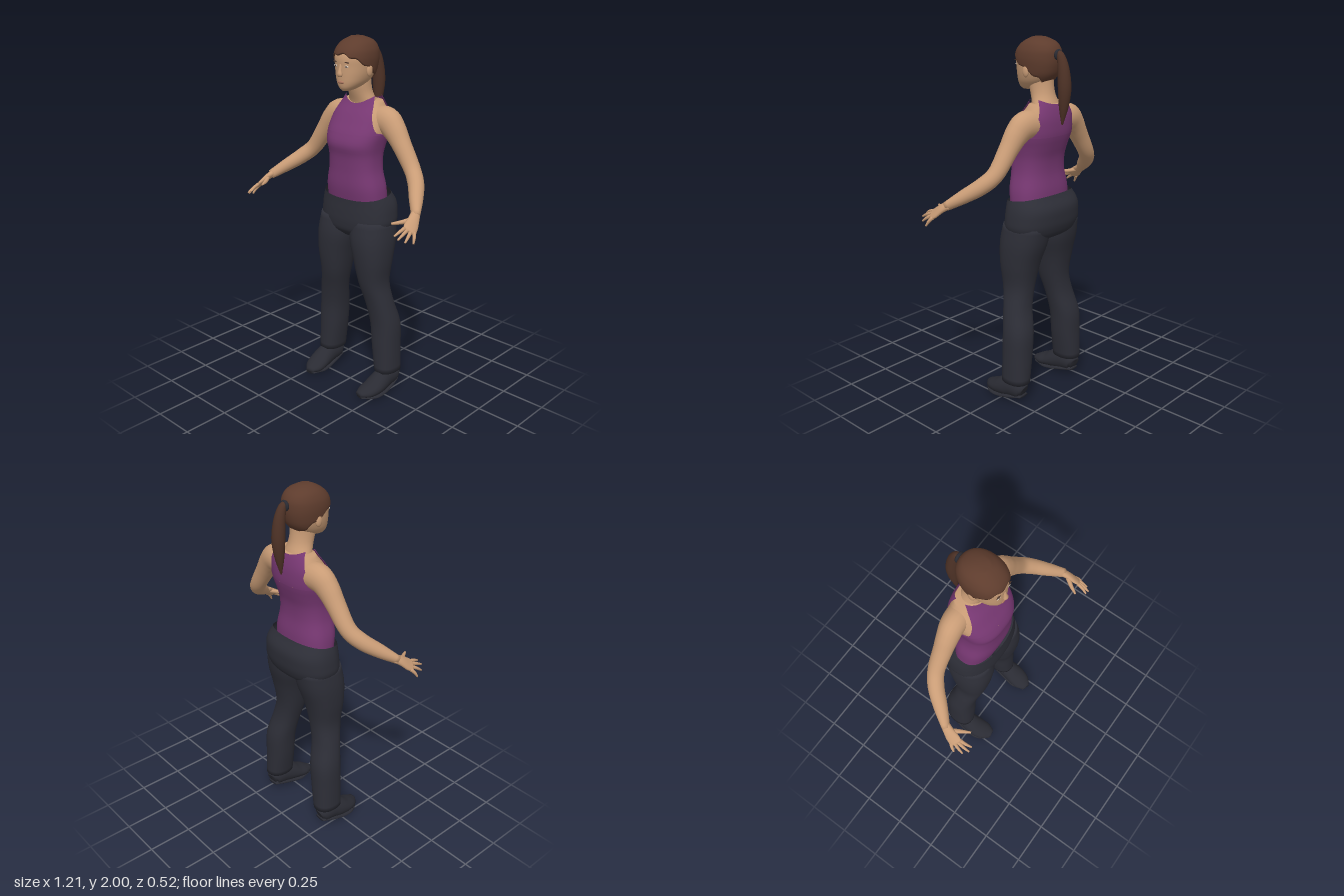
import * as THREE from 'three';

const material = (name, color, side = THREE.FrontSide) => {
  const m = new THREE.MeshStandardMaterial({ color, side });
  m.name = name;
  return m;
};

// Smooth interpolation of rows [key, a, b, ...]
function sampler(rows) {
  const size = rows[0].length - 1;
  const curve = new THREE.CubicInterpolant(rows.map(r => r[0]), rows.flatMap(r => r.slice(1)), size);
  return t => Array.from(curve.evaluate(t));
}

// Grid surface from f(u, v), optionally closed around u and capped at both ends
function grid(nu, nv, f, closed = true, capped = true) {
  const pos = [], index = [], cols = closed ? nu : nu + 1;
  for (let j = 0; j <= nv; j++)
    for (let i = 0; i < cols; i++) pos.push(...f(i / nu, j / nv));
  for (let j = 0; j < nv; j++)
    for (let i = 0; i < nu; i++) {
      const k = (i + 1) % cols, a = j * cols + i, b = j * cols + k;
      index.push(a, b, b + cols, a, b + cols, a + cols);
    }
  if (closed && capped) for (const j of [0, nv]) {
    const mid = [0, 0, 0], centre = pos.length / 3;
    for (let i = 0; i < cols; i++)
      for (let c = 0; c < 3; c++) mid[c] += pos[(j * cols + i) * 3 + c] / cols;
    pos.push(...mid);
    for (let i = 0; i < cols; i++) {
      const a = j * cols + i, b = j * cols + (i + 1) % cols;
      if (j) index.push(a, b, centre); else index.push(b, a, centre);
    }
  }
  const g = new THREE.BufferGeometry();
  g.setAttribute('position', new THREE.Float32BufferAttribute(pos, 3));
  g.setIndex(index);
  g.computeVertexNormals();
  return g;
}

// Horizontal cross-sections, rows [y, halfWidth, zFront, zBack, centreX]
function body(rows, n) {
  const at = sampler(rows.map(r => [r[0], r[1], r[2], r[3], r[4] || 0]));
  const power = v => Math.sign(v) * Math.abs(v) ** (2 / n);
  return {
    point(y, u, grow = 0) {
      const [rx, zf, zb, cx] = at(y), a = u * Math.PI * 2;
      return [cx + (rx + grow) * power(Math.sin(a)), y, (zf + zb) / 2 + ((zf - zb) / 2 + grow) * power(Math.cos(a))];
    },
    depth(x, y, side = 1) {
      const [rx, zf, zb] = at(y);
      return (zf + zb) / 2 + side * (zf - zb) / 2 * Math.max(0, 1 - Math.abs(x / rx) ** n) ** (1 / n);
    },
  };
}
const loft = (shape, y0, y1, nu = 32, nv = 20, grow = 0) =>
  grid(nu, nv, (u, v) => shape.point(y0 + (y1 - y0) * v, u, grow));

// Tapered tube, points [x, y, z, radiusAlongRef, radiusAcross]
function limb(points, ref, nu = 16, nv = 24) {
  const at = sampler(points.map((p, i) => [i, ...p])), last = points.length - 1;
  const vec = t => new THREE.Vector3(...at(THREE.MathUtils.clamp(t, 0, last)).slice(0, 3));
  return grid(nu, nv, (u, v) => {
    const t = v * last, [, , , ra, rb] = at(t);
    const dir = vec(t + 0.05).sub(vec(t - 0.05)).normalize();
    const A = new THREE.Vector3(...ref).projectOnPlane(dir).normalize();
    const B = dir.clone().cross(A), a = u * Math.PI * 2;
    return vec(t).addScaledVector(A, ra * Math.cos(a)).addScaledVector(B, rb * Math.sin(a)).toArray();
  });
}

function mirrored(geo) {
  const g = geo.clone().scale(-1, 1, 1), idx = g.index.array;
  for (let i = 0; i < idx.length; i += 3) [idx[i], idx[i + 1]] = [idx[i + 1], idx[i]];
  return g;
}

const ball = (x, y, z, rx, ry, rz) => new THREE.SphereGeometry(1, 16, 12).scale(rx, ry, rz).translate(x, y, z);

export function createModel() {
  const model = new THREE.Group();
  model.name = 'woman';
  const skin = material('skin', 0xc99c76);
  const hairBrown = material('hair brown', 0x5e3c2d, THREE.DoubleSide);
  const tailBrown = material('ponytail brown', 0x4e3226);
  const purple = material('purple cloth', 0x783873, THREE.DoubleSide);
  const trouser = material('trouser cloth', 0x2d2e37, THREE.DoubleSide);
  const leather = material('shoe leather', 0x2a2b33);
  const eyeWhite = material('eye white', 0xd9cabb);
  const eyeDark = material('eye dark', 0x4a342a);
  const lip = material('lip', 0xb07a62);

  const add = (name, geo, mat) => {
    const m = new THREE.Mesh(geo, mat);
    m.name = name;
    model.add(m);
  };
  const pair = (name, geo, mat) => {
    add('left ' + name, geo, mat);
    add('right ' + name, mirrored(geo), mat);
  };

  // Torso skin and tank top share one shape
  const torso = body([
    [1.10, 0.185, 0.045, -0.165], [1.2, 0.18, 0.062, -0.165], [1.3, 0.158, 0.064, -0.155],
    [1.38, 0.156, 0.07, -0.162], [1.44, 0.166, 0.082, -0.18], [1.5, 0.177, 0.063, -0.197],
    [1.55, 0.175, 0.035, -0.2], [1.6, 0.165, 0.005, -0.197], [1.65, 0.135, -0.03, -0.185], [1.7, 0.1, -0.055, -0.165],
  ], 2.5);
  add('upper body', loft(torso, 1.4, 1.665, 40, 20, -0.009), skin);
  add('tank top', grid(48, 24, (u, v) => torso.point(1.1 + 0.4 * v, u), true, false), purple);
  for (const side of [1, -1]) {
    const panel = grid(24, 16, (u, v) => {
      const t = Math.sin((u - 0.5) * Math.PI) * side;
      const top = (side > 0 ? 1.65 : 1.665) + (side > 0 ? 0.042 : 0.027) * t * t;
      const y = 1.5 + (top - 1.5) * v;
      const x = t * THREE.MathUtils.lerp(0.177, 0.1, v ** 0.85);
      return [x, y, torso.depth(x, y, side)];
    }, false);
    add(side > 0 ? 'tank top front' : 'tank top back', panel, purple);
  }

  // Neck and head
  const neck = body([
    [1.62, 0.1, -0.045, -0.17], [1.66, 0.082, -0.035, -0.163], [1.7, 0.066, -0.018, -0.148],
    [1.75, 0.06, 0, -0.14], [1.82, 0.058, 0, -0.14],
  ], 2);
  add('neck', loft(neck, 1.62, 1.82, 24, 12), skin);
  const skull = body([
    [1.724, 0.018, 0.052, 0.01], [1.735, 0.04, 0.063, -0.04], [1.76, 0.066, 0.071, -0.1],
    [1.8, 0.085, 0.074, -0.145], [1.85, 0.095, 0.075, -0.165], [1.9, 0.098, 0.075, -0.17],
    [1.94, 0.089, 0.058, -0.163], [1.975, 0.062, 0.015, -0.13], [1.993, 0.025, -0.025, -0.08],
  ], 2.2);
  add('head', loft(skull, 1.724, 1.993, 36, 28), skin);
  add('hair', grid(64, 20, (u, v) => {
    const a = u * Math.PI * 2;
    const line = 1.842 + 0.075 * Math.cos(a) + 0.006 * Math.sin(9 * a);
    const p = skull.point(THREE.MathUtils.lerp(line, 1.993, v), u, 0.007);
    p[1] += 0.006 * v;
    return p;
  }), hairBrown);

  // Ponytail with its band
  add('ponytail', limb([
    [0, 1.915, -0.165, 0.015, 0.015], [0, 1.915, -0.195, 0.02, 0.02], [0, 1.85, -0.217, 0.03, 0.03],
    [0, 1.75, -0.227, 0.036, 0.034], [0, 1.65, -0.222, 0.025, 0.024], [0, 1.56, -0.213, 0.004, 0.004],
  ], [1, 0, 0]), tailBrown);
  add('hair band', new THREE.TorusGeometry(0.02, 0.009, 8, 20).translate(0, 1.915, -0.183), leather);

  // Face
  add('nose', limb([
    [0, 1.865, 0.068, 0.008, 0.008], [0, 1.835, 0.076, 0.01, 0.01],
    [0, 1.812, 0.08, 0.012, 0.016], [0, 1.803, 0.074, 0.006, 0.012],
  ], [0, 0, 1], 12, 12), skin);
  add('mouth', ball(0, 1.772, skull.depth(0, 1.772), 0.024, 0.008, 0.005), lip);
  pair('ear', ball(0.095, 1.83, -0.045, 0.012, 0.032, 0.02), skin);
  const eyeZ = skull.depth(0.037, 1.855);
  pair('eye', ball(0.037, 1.855, eyeZ, 0.015, 0.006, 0.004), eyeWhite);
  pair('iris', ball(0.037, 1.855, eyeZ + 0.002, 0.005, 0.005, 0.003), eyeDark);
  pair('eyebrow', ball(0.038, 1.876, skull.depth(0.038, 1.876), 0.02, 0.003, 0.004), eyeDark);

  // Arms
  pair('arm', limb([
    [0.08, 1.565, -0.11, 0.07, 0.07], [0.17, 1.565, -0.106, 0.064, 0.076], [0.225, 1.525, -0.1, 0.058, 0.066],
    [0.28, 1.455, -0.095, 0.051, 0.053], [0.36, 1.345, -0.085, 0.045, 0.045], [0.42, 1.285, -0.045, 0.043, 0.043],
    [0.48, 1.23, 0.025, 0.037, 0.036], [0.54, 1.175, 0.1, 0.021, 0.026],
  ], [0, 0, 1], 20, 40), skin);

  // Hands
  const palmUp = [0.7, 0.66, 0.25];
  pair('palm', limb([
    [0.53, 1.184, 0.087, 0.02, 0.024], [0.546, 1.163, 0.122, 0.017, 0.03],
    [0.558, 1.135, 0.158, 0.014, 0.037], [0.566, 1.119, 0.186, 0.009, 0.034],
  ], palmUp, 16, 12), skin);
  const tips = [[0.535, 1.108, 0.258], [0.56, 1.095, 0.26], [0.585, 1.08, 0.235], [0.601, 1.066, 0.19]];
  ['index finger', 'middle finger', 'ring finger', 'little finger'].forEach((name, i) => {
    const o = (i - 1.5) * 0.018, base = [0.563 + 0.63 * o, 1.124 - 0.42 * o, 0.176 - 0.66 * o];
    const mid = base.map((b, c) => (b + tips[i][c]) / 2 + palmUp[c] * 0.004);
    pair(name, limb([[...base, 0.01, 0.01], [...mid, 0.0085, 0.0085], [...tips[i], 0.005, 0.005]], palmUp, 10, 8), skin);
  });
  pair('thumb', limb([
    [0.54, 1.162, 0.125, 0.013, 0.015], [0.508, 1.152, 0.172, 0.011, 0.011], [0.482, 1.15, 0.218, 0.005, 0.006],
  ], palmUp, 10, 10), skin);

  // Trousers: hips with a waist that dips at the front, and two legs
  const hips = body([
    [0.915, 0.09, 0.02, -0.1], [0.95, 0.19, 0.058, -0.185], [1.0, 0.23, 0.07, -0.217],
    [1.06, 0.232, 0.07, -0.226], [1.12, 0.222, 0.066, -0.222], [1.18, 0.198, 0.064, -0.186],
  ], 2.4);
  add('hips', grid(48, 18, (u, v) => {
    const top = 1.162 - 0.022 * Math.cos(u * Math.PI * 2);
    return hips.point(0.915 + (top - 0.915) * v, u);
  }, true, false), trouser);
  const leg = body([
    [0.12, 0.066, 0.002, -0.165, 0.22], [0.28, 0.077, 0.002, -0.165, 0.207], [0.42, 0.082, 0.003, -0.162, 0.197],
    [0.55, 0.08, 0.022, -0.13, 0.172], [0.66, 0.082, 0.048, -0.125, 0.146], [0.8, 0.103, 0.07, -0.15, 0.136],
    [0.92, 0.119, 0.076, -0.185, 0.121], [1.02, 0.112, 0.06, -0.2, 0.115],
  ], 2.3);
  pair('trouser leg', loft(leg, 0.12, 1.02, 28, 30), trouser);

  // Shoes, heel to toe
  pair('shoe', limb([
    [0.22, 0.07, -0.142, 0.03, 0.03], [0.222, 0.078, -0.12, 0.052, 0.048], [0.222, 0.076, -0.05, 0.062, 0.054],
    [0.222, 0.062, 0, 0.056, 0.06], [0.218, 0.046, 0.05, 0.042, 0.062], [0.207, 0.035, 0.1, 0.031, 0.053],
    [0.198, 0.032, 0.143, 0.014, 0.024],
  ], [0, 1, 0], 20, 28), leather);
  pair('shoe sole', limb([
    [0.22, 0.042, -0.138, 0.008, 0.035], [0.222, 0.03, -0.07, 0.014, 0.052], [0.222, 0.014, 0.01, 0.013, 0.062],
    [0.215, 0.012, 0.07, 0.012, 0.062], [0.2, 0.016, 0.138, 0.007, 0.028],
  ], [0, 1, 0], 16, 16), leather);

  return model;
}
